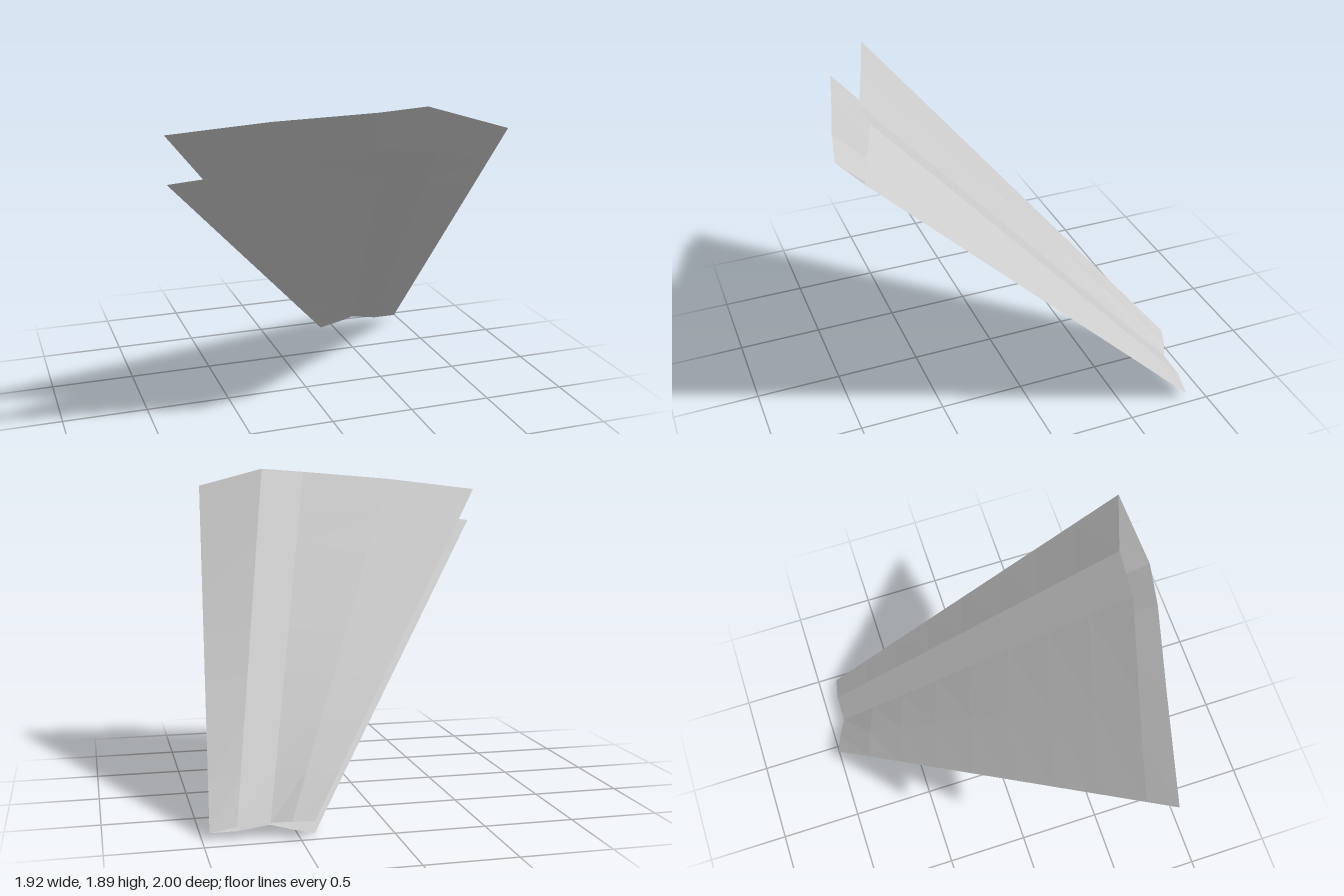
import * as THREE from 'three';

const SPAN_STEPS = 8;

// Leading-edge ends shared by both skins
const tipNose = [0.79, 1.79, 0.96];
const rootNose = [0.96, 0.04, -0.88];

// Cross-sections run from the leading edge to the trailing edge
const upperTip = [tipNose, [0.40, 1.90, 0.81], [0.13, 1.88, 0.79], [-0.40, 1.835, 0.63], [-0.93, 1.77, 0.48]];
const upperRoot = [rootNose, [0.82, 0.07, -0.905], [0.645, 0.08, -0.905], [0.54, 0.095, -0.96], [0.43, 0.10, -1.0]];
const lowerTip = [tipNose, [0.37, 1.70, 1.0], [0.11, 1.72, 0.945], [-0.39, 1.64, 0.82], [-0.965, 1.56, 0.68]];
const lowerRoot = [rootNose, [0.81, 0.04, -0.88], [0.645, 0.065, -0.89], [0.54, 0.035, -0.895], [0.41, 0.005, -0.90]];

// Ruled skin between the root and tip sections
function makeSkin(name, root, tip, material, flip) {
  const positions = [];
  const indices = [];
  const n = root.length;
  for (let s = 0; s <= SPAN_STEPS; s++) {
    for (let c = 0; c < n; c++) {
      const p = new THREE.Vector3(...root[c]).lerp(new THREE.Vector3(...tip[c]), s / SPAN_STEPS);
      positions.push(p.x, p.y, p.z);
    }
  }
  for (let s = 0; s < SPAN_STEPS; s++) {
    for (let c = 0; c < n - 1; c++) {
      const a = s * n + c, b = a + 1, d = a + n, e = d + 1;
      if (flip) indices.push(a, b, e, a, e, d);
      else indices.push(a, e, b, a, d, e);
    }
  }
  const geometry = new THREE.BufferGeometry();
  geometry.setAttribute('position', new THREE.Float32BufferAttribute(positions, 3));
  geometry.setIndex(indices);
  geometry.computeVertexNormals();
  const mesh = new THREE.Mesh(geometry, material);
  mesh.name = name;
  return mesh;
}

export function createModel() {
  const model = new THREE.Group();
  model.name = 'hollowWing';
  const grey = new THREE.MeshStandardMaterial({ color: 0xcccccc, flatShading: true, side: THREE.DoubleSide });
  grey.name = 'light grey';
  // Two thin skins joined at the leading edge, open at the trailing edge and ends
  model.add(makeSkin('upperSkin', upperRoot, upperTip, grey, true));
  model.add(makeSkin('lowerSkin', lowerRoot, lowerTip, grey, false));
  return model;
}
